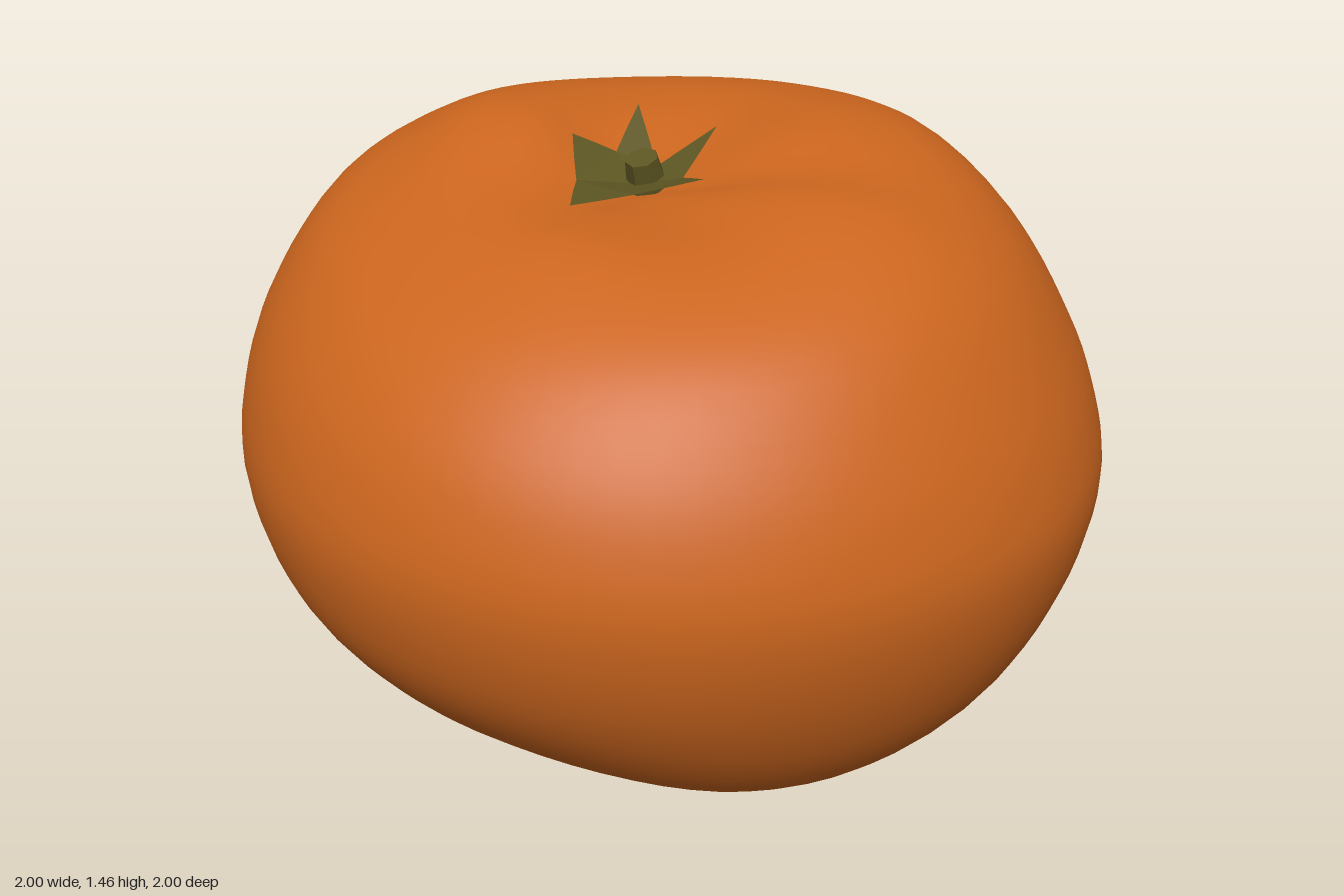
import * as THREE from 'three';
import { mergeVertices } from 'three/addons/utils/BufferGeometryUtils.js';

const skin = new THREE.MeshStandardMaterial({ color: 0xcb651e });
skin.name = 'orange skin';
const green = new THREE.MeshStandardMaterial({ color: 0x5c5522, side: THREE.DoubleSide });
green.name = 'olive green';

// Rings from top dimple to bottom dimple:
// radius, shift toward the dimple, then height on the +x, +z, -x and -z sides
const RINGS = [
  [0, 1, 1.315, 1.315, 1.315, 1.315],
  [0.12, 0.9, 1.335, 1.32, 1.355, 1.345],
  [0.28, 0.6, 1.362, 1.325, 1.435, 1.4],
  [0.45, 0.3, 1.365, 1.315, 1.445, 1.42],
  [0.62, 0, 1.32, 1.27, 1.385, 1.375],
  [0.78, 0, 1.2, 1.175, 1.285, 1.24],
  [0.9, 0, 1.02, 1.05, 1.115, 1.05],
  [0.97, 0, 0.86, 0.91, 0.94, 0.88],
  [0.998, 0, 0.7, 0.75, 0.74, 0.73],
  [0.955, 0, 0.49, 0.55, 0.53, 0.52],
  [0.855, 0, 0.28, 0.38, 0.34, 0.31],
  [0.7, 0, 0.12, 0.22, 0.2, 0.15],
  [0.5, 0.1, 0.025, 0.095, 0.125, 0.05],
  [0.32, 0.5, 0.005, 0.03, 0.085, 0.05],
  [0.15, 0.9, 0.05, 0.045, 0.09, 0.085],
  [0, 1, 0.09, 0.09, 0.09, 0.09],
];
const TOP = [0.02, 0.16];
const BOTTOM = [-0.04, -0.12];

// Diagonals, starting between +x and +z and turning toward -x:
// flattening of the outline, lift of the top rim, lift of the underside
const DIAGONALS = [
  [0.01, -0.032, -0.03],
  [0.01, -0.01, 0],
  [0.038, -0.005, 0],
  [0.014, 0.025, 0],
];

// Smooth value of one ring column at t in 0..1
function column(c, t) {
  const f = t * (RINGS.length - 1);
  const i = Math.min(Math.floor(f), RINGS.length - 2);
  const at = (k) => RINGS[Math.max(0, Math.min(RINGS.length - 1, k))][c];
  const [a, b, d, e] = [at(i - 1), at(i), at(i + 1), at(i + 2)];
  const s = f - i;
  return b + 0.5 * s * (d - a + s * (2 * a - 5 * b + 4 * d - e + s * (3 * (b - d) + e - a)));
}

// Soft hump of height 1 at the given centre
const hump = (t, centre, width) => {
  const d = Math.min(1, Math.abs(t - centre) / width);
  return (1 - d * d) ** 2;
};

function createFruit() {
  const geo = new THREE.SphereGeometry(1, 72, 60);
  const pos = geo.attributes.position;
  const uv = geo.attributes.uv;
  for (let i = 0; i < pos.count; i++) {
    const t = Math.floor(i / 73) / 60;
    const angle = Math.PI - (uv.getX(i) % 1) * Math.PI * 2;
    const cx = Math.cos(angle);
    const cz = Math.sin(angle);
    const [flat, rim, under] = DIAGONALS[cz >= 0 ? (cx >= 0 ? 0 : 1) : (cx < 0 ? 2 : 3)];
    const diagonal = 4 * cx * cx * cz * cz;
    const y = cx * cx * column(cx > 0 ? 2 : 4, t) + cz * cz * column(cz > 0 ? 3 : 5, t)
      + diagonal * (rim * hump(t, 0.2, 0.17) + under * hump(t, 0.76, 0.16));
    const r = Math.max(0, column(0, t)) * (1 - flat * diagonal);
    const shift = column(1, t);
    const dimple = t < 0.5 ? TOP : BOTTOM;
    pos.setXYZ(i, cx * r + dimple[0] * shift, y, cz * r + dimple[1] * shift);
  }
  geo.deleteAttribute('uv');
  geo.deleteAttribute('normal');
  const merged = mergeVertices(geo, 1e-5);
  merged.computeVertexNormals();
  const mesh = new THREE.Mesh(merged, skin);
  mesh.name = 'fruit';
  return mesh;
}

// Five pointed leaves around the dimple, one facet strip per leaf
function createCalyx() {
  const V = (x, y, z) => new THREE.Vector3(x, y, z);
  const centre = V(0.02, 1.338, 0.17);
  const tips = [V(-0.08, 1.46, 0.01), V(0.13, 1.445, 0.03), V(0.2, 1.385, 0.2),
    V(0, 1.348, 0.39), V(-0.16, 1.415, 0.15)];
  const notches = [V(-0.08, 1.375, 0.1), V(0.03, 1.362, 0.11), V(0.12, 1.362, 0.15),
    V(0.075, 1.35, 0.27), V(-0.075, 1.354, 0.26)];
  const points = [];
  tips.forEach((tip, i) => {
    const a = notches[i];
    const b = notches[(i + 1) % 5];
    const middle = a.clone().add(b).multiplyScalar(0.5);
    const spine = middle.clone().lerp(tip, 0.45);
    const edge = (n) => spine.clone().addScaledVector(n.clone().sub(middle), 0.57);
    const ea = edge(a);
    const eb = edge(b);
    points.push(centre, b, a, a, b, eb, a, eb, ea, ea, eb, tip);
  });
  const geo = new THREE.BufferGeometry().setFromPoints(points);
  geo.computeVertexNormals();
  const mesh = new THREE.Mesh(geo, green);
  mesh.name = 'calyx';
  return mesh;
}

// Short stub leaning forward
function createStem() {
  const geo = new THREE.CylinderGeometry(0.036, 0.045, 0.07, 7).toNonIndexed();
  geo.computeVertexNormals();
  const mesh = new THREE.Mesh(geo, green);
  mesh.name = 'stem';
  mesh.position.set(0.028, 1.362, 0.155);
  mesh.rotation.x = 0.35;
  return mesh;
}

export function createModel() {
  const model = new THREE.Group();
  model.name = 'persimmon';
  model.add(createFruit(), createCalyx(), createStem());
  return model;
}
